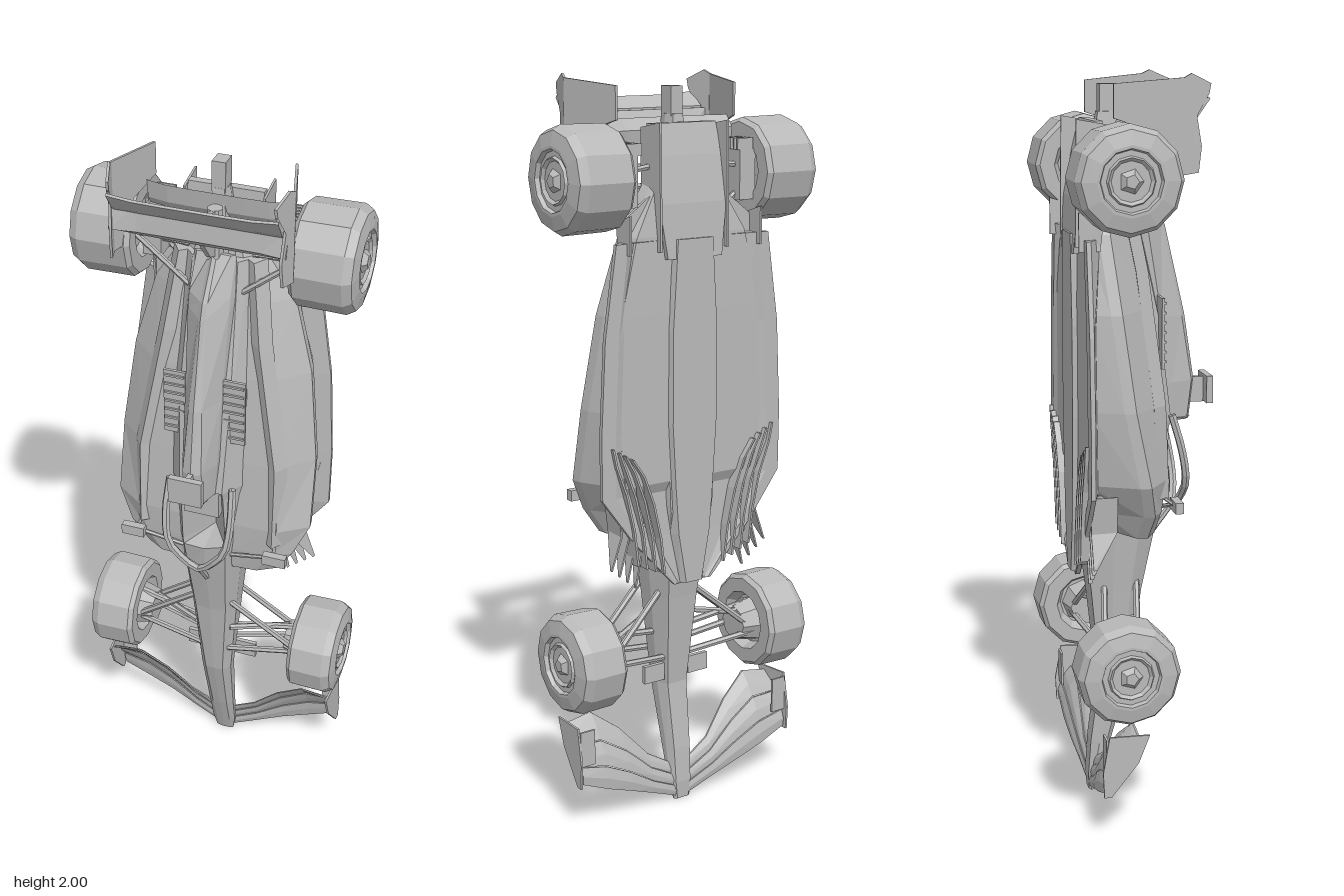
import * as THREE from 'three';

// One grey, faceted, double sided for the thin aero panels
const grey = new THREE.MeshStandardMaterial({ color: 0xb9b9b9, flatShading: true, side: THREE.DoubleSide });
grey.name = 'bodyGrey';

function add(parent, name, geo) {
  const m = new THREE.Mesh(geo, grey);
  m.name = name;
  parent.add(m);
}

// Skin a list of equal-length 3D rings and cap both ends, facing outward
function loft(rings) {
  const tris = [], n = rings[0].length;
  for (let s = 0; s < rings.length - 1; s++) {
    for (let i = 0; i < n; i++) {
      const a = rings[s][i], b = rings[s][(i + 1) % n], c = rings[s + 1][(i + 1) % n], d = rings[s + 1][i];
      tris.push([a, b, c], [a, c, d]);
    }
  }
  const cap = (ring, flip) => {
    const c = [0, 1, 2].map(k => ring.reduce((t, p) => t + p[k], 0) / n);
    ring.forEach((p, i) => tris.push(flip ? [c, ring[(i + 1) % n], p] : [c, p, ring[(i + 1) % n]]));
  };
  cap(rings[0], true);
  cap(rings[rings.length - 1], false);
  const v = (p) => new THREE.Vector3(...p);
  const volume = tris.reduce((t, [a, b, c]) => t + v(a).dot(v(b).cross(v(c))), 0);
  if (volume < 0) tris.forEach(t => t.reverse());
  const g = new THREE.BufferGeometry();
  g.setAttribute('position', new THREE.Float32BufferAttribute(tris.flat(2), 3));
  g.computeVertexNormals();
  return g;
}

// Ring at height y: plain, or mirrored from a half outline running top to bottom
const ringAt = (y, pts) => pts.map(([x, z]) => [x, y, z]);
const mirrorRing = (y, half) => ringAt(y, [...half, ...half.filter(p => p[0] > 0).reverse().map(([x, z]) => [-x, z])]);

// Thin side plate from a (y, z) outline; lean shifts x with z
function plate(pts, x, t = 0.006, lean = 0) {
  return loft([x - t / 2, x + t / 2].map(px => pts.map(([y, z]) => [px + lean * z, y, z])));
}

function box(w, h, d, x, y, z) {
  return new THREE.BoxGeometry(w, h, d).translate(x, y, z);
}

function bar(a, b, r = 0.006) {
  const p = new THREE.Vector3(...a), q = new THREE.Vector3(...b), dir = q.clone().sub(p);
  const g = new THREE.CylinderGeometry(r, r, dir.length(), 6);
  g.applyQuaternion(new THREE.Quaternion().setFromUnitVectors(new THREE.Vector3(0, 1, 0), dir.normalize()));
  return g.translate(...p.add(q).multiplyScalar(0.5).toArray());
}

// Faceted wheel with stepped rim and a wedge hub
function wheel(name, x0, x1, y) {
  const g = new THREE.Group(), w = x1 - x0, h = w / 2;
  g.name = name;
  const profile = [[0, -h + 0.03], [0.07, -h + 0.03], [0.085, -h], [0.125, -h], [0.136, -h + 0.012], [0.138, h - 0.03],
    [0.125, h - 0.008], [0.088, h], [0.08, h], [0.076, h - 0.012], [0.062, h - 0.012], [0.058, h - 0.004], [0.05, h - 0.012], [0, h - 0.012]];
  const tyre = new THREE.LatheGeometry(profile.map(p => new THREE.Vector2(...p)), 12).toNonIndexed();
  tyre.rotateZ(-Math.PI / 2);
  tyre.computeVertexNormals();
  add(g, 'tyreAndRim', tyre);
  add(g, 'hub', new THREE.CylinderGeometry(0.018, 0.034, 0.016, 5).rotateZ(-Math.PI / 2).translate(h - 0.006, 0, 0));
  g.position.set((x0 + x1) / 2, y, -0.085);
  return g;
}

// Everything that exists once on each side
function buildSide() {
  const g = new THREE.Group();
  g.add(wheel('frontWheel', 0.238, 0.374, 0.468), wheel('rearWheel', 0.205, 0.375, 1.748));

  // Front wing: three swept elements and a leaning endplate
  const stations = [[0, 0.0, -0.125, 0.09, -0.11], [0.1, 0.042, -0.135, 0.15, -0.1], [0.18, 0.075, -0.145, 0.24, -0.075],
    [0.26, 0.105, -0.15, 0.3, -0.055], [0.343, 0.14, -0.15, 0.285, -0.055]];
  for (let k = 0; k < 3; k++) {
    add(g, 'frontWingElement', loft(stations.map(([x, y0, z0, y1, z1]) => {
      const at = (f, dz) => [x, y0 + (y1 - y0) * f, z0 + (z1 - z0) * f * f + dz];
      const a = k / 3, b = (k + 1) / 3 - 0.012;
      return [at(a, 0), at((a + b) / 2, 0.006), at(b, 0.003), at(b, -0.002), at((a + b) / 2, -0.004)];
    })));
  }
  add(g, 'frontEndplate', plate([[0.13, -0.155], [0.13, -0.135], [0.22, -0.06], [0.295, -0.03], [0.3, -0.14], [0.2, -0.158]], 0.341, 0.006, -0.06));
  add(g, 'frontEndplateFoot', box(0.045, 0.1, 0.006, 0.325, 0.24, -0.145));
  add(g, 'noseVane', box(0.065, 0.05, 0.012, 0.073, 0.38, -0.09));

  // Front suspension
  const hubX = 0.25;
  [[[hubX, 0.46, -0.04], [0.05, 0.63, 0.0]], [[hubX, 0.46, -0.04], [0.04, 0.43, -0.02]],
    [[hubX, 0.45, -0.13], [0.05, 0.62, -0.09]], [[hubX, 0.45, -0.13], [0.04, 0.42, -0.09]],
    [[hubX, 0.5, -0.12], [0.05, 0.52, -0.01]], [[hubX, 0.52, -0.08], [0.05, 0.49, -0.06]]]
    .forEach(([a, b]) => add(g, 'frontSuspensionArm', bar(a, b, 0.009)));
  add(g, 'frontBrakeDuct', new THREE.CylinderGeometry(0.065, 0.05, 0.06, 8).rotateZ(-Math.PI / 2).translate(0.235, 0.468, -0.085));

  // Rear suspension
  [[[0.22, 1.75, -0.03], [0.05, 1.62, -0.02]], [[0.22, 1.75, -0.03], [0.03, 1.77, -0.03]],
    [[0.22, 1.74, -0.13], [0.06, 1.6, -0.11]], [[0.22, 1.76, -0.13], [0.04, 1.78, -0.11]], [[0.22, 1.72, -0.08], [0.03, 1.72, -0.07]]]
    .forEach(([a, b]) => add(g, 'rearSuspensionArm', bar(a, b, 0.008)));
  add(g, 'rearBrakeDuct', box(0.05, 0.13, 0.09, 0.185, 1.74, -0.105));
  for (let i = 0; i < 5; i++) add(g, 'rearDuctVane', box(0.05, 0.03, 0.005, 0.175, 1.82, -0.15 + i * 0.016));

  // Sidepod: wide at the front, tapering in towards the tail
  const pod = (y, xi, xt, xo, zt, zo, xb, zb) => ringAt(y, [[xi, zt + 0.005], [xt, zt], [xo, zo], [xo - 0.004, zo - 0.03], [xb, zb], [xi, zb]]);
  add(g, 'sidepod', loft([
    pod(0.79, 0.07, 0.14, 0.19, 0.03, 0.0, 0.12, -0.07),
    pod(0.86, 0.07, 0.18, 0.235, 0.04, 0.01, 0.16, -0.12),
    pod(0.95, 0.07, 0.2, 0.278, 0.045, -0.01, 0.21, -0.165),
    pod(1.15, 0.06, 0.19, 0.275, 0.03, -0.05, 0.235, -0.165),
    pod(1.4, 0.04, 0.15, 0.245, 0.005, -0.08, 0.22, -0.165),
    pod(1.6, 0.03, 0.1, 0.19, -0.025, -0.1, 0.17, -0.16),
    pod(1.74, 0.02, 0.06, 0.1, -0.05, -0.09, 0.09, -0.14)]));
  add(g, 'sidepodShoulder', loft([[0.9, 0.19, 0.05], [1.15, 0.19, 0.04], [1.5, 0.13, 0.005], [1.72, 0.1, -0.035]].map(([y, x, z]) =>
    ringAt(y, [[x - 0.035, z - 0.02], [x, z + 0.008], [x + 0.025, z - 0.03]]))));
  // Cooling louvres
  add(g, 'louvrePanel', box(0.06, 0.19, 0.008, 0.082, 1.325, 0.06));
  for (let i = 0; i < 7; i++) add(g, 'louvre', box(0.054, 0.006, 0.012, 0.082, 1.25 + i * 0.026, 0.063));

  // Curved floor fences
  for (let i = 0; i < 4; i++) {
    const x = 0.095 + i * 0.028, y = 0.7 + i * 0.012;
    add(g, 'floorFence', loft([[0, 0], [0.1, 0.012], [0.2, 0.035], [0.28, 0.065], [0.33, 0.1 - i * 0.008]].map(([dy, dx], j) =>
      ringAt(y + dy, [[x + dx, -0.182], [x + dx + 0.006, -0.182], [x + dx + 0.006, j ? -0.15 : -0.13], [x + dx, j ? -0.15 : -0.13]]))));
    add(g, 'fenceTip', loft([[0.67 + i * 0.02, 0.02], [0.82, -0.012], [0.92, 0]].map(([py, dx], j) =>
      ringAt(py, [[0.155 + i * 0.025 + dx, -0.16], [0.16 + i * 0.025 + dx, -0.16], [0.157 + i * 0.025 + dx, j ? -0.09 : -0.15]]))));
  }
  add(g, 'diffuserFence', plate([[1.56, -0.175], [1.56, -0.13], [1.72, -0.085], [1.87, -0.085], [1.885, -0.17]], 0.105));
  add(g, 'diffuserOuterWall', plate([[1.56, -0.185], [1.56, -0.13], [1.64, -0.12], [1.66, -0.185]], 0.205));
  add(g, 'diffuserShelf', loft([[1.56, 0.21], [1.64, 0.2], [1.7, 0.12]].map(([y, x]) =>
    ringAt(y, [[0.09, -0.125], [x, -0.13], [x, -0.14], [0.09, -0.14]]))));

  // Mirror
  add(g, 'mirror', box(0.065, 0.03, 0.022, 0.205, 0.88, 0.075));
  add(g, 'mirrorStay', bar([0.19, 0.88, 0.07], [0.07, 0.84, 0.045], 0.006));
  add(g, 'mirrorPost', bar([0.2, 0.88, 0.07], [0.19, 0.91, 0.03], 0.005));

  // Rear wing endplate: widest at mid height, leaning in above and below
  add(g, 'rearEndplate', plate([[2.0, 0.1], [1.975, 0.155], [1.95, 0.15], [1.925, 0.11], [1.82, 0.13], [1.755, 0.122],
    [1.75, 0.08], [1.99, 0.08]], 0.255, 0.007, -0.3));
  add(g, 'rearEndplateLower', plate([[1.99, 0.08], [1.975, -0.09], [1.89, -0.09], [1.86, 0.0], [1.75, 0.045], [1.75, 0.08]], 0.209, 0.007, 0.28));
  return g;
}

export function createModel() {
  const car = new THREE.Group();
  car.name = 'openWheelRacingCar';
  const left = buildSide();
  left.name = 'leftSide';
  const right = left.clone();
  right.name = 'rightSide';
  right.scale.x = -1;
  car.add(left, right);

  // Nose and tub, with the cockpit cut as a dip along the centre
  const tub = (y, zc, zr, wi, wo, zb) => mirrorRing(y, [[0, zc], [wi, zr], [wo, zr - (zr - zb) * 0.25], [wo, zr - (zr - zb) * 0.6], [wo * 0.7, zb], [0, zb]]);
  add(car, 'noseAndTub', loft([
    tub(0, -0.115, -0.116, 0.015, 0.026, -0.13), tub(0.05, -0.098, -0.1, 0.02, 0.035, -0.132), tub(0.15, -0.065, -0.067, 0.022, 0.038, -0.125),
    tub(0.34, -0.012, -0.014, 0.026, 0.045, -0.1), tub(0.6, 0.02, 0.016, 0.045, 0.067, -0.125), tub(0.78, 0.06, 0.052, 0.055, 0.085, -0.15),
    tub(0.86, 0.07, 0.066, 0.06, 0.095, -0.165), tub(0.88, -0.03, 0.068, 0.062, 0.098, -0.165), tub(1.05, -0.01, 0.085, 0.06, 0.105, -0.165),
    tub(1.08, 0.1, 0.095, 0.06, 0.105, -0.165), tub(1.35, 0.07, 0.06, 0.07, 0.105, -0.165), tub(1.72, 0.0, -0.02, 0.06, 0.085, -0.13)]));
  add(car, 'headrest', box(0.1, 0.09, 0.07, 0, 1.04, 0.055));

  // Airbox, engine cover and spine
  const cover = (y, zt, w1, w2, zm) => mirrorRing(y, [[0, zt], [w1, zt - 0.012], [w2, zm], [w2 + 0.01, -0.02], [0, -0.02]]);
  add(car, 'engineCover', loft([cover(1.08, 0.16, 0.026, 0.042, 0.1), cover(1.18, 0.172, 0.026, 0.048, 0.1),
    cover(1.36, 0.145, 0.018, 0.05, 0.07), cover(1.6, 0.09, 0.01, 0.055, 0.03), cover(1.64, 0.075, 0.01, 0.055, 0.02), cover(1.74, 0.0, 0.008, 0.045, -0.01)]));
  add(car, 'airIntakeRim', new THREE.TorusGeometry(0.027, 0.006, 5, 10).rotateX(Math.PI / 2).translate(0, 1.078, 0.128));
  add(car, 'cameraStalk', box(0.014, 0.07, 0.05, 0, 1.15, 0.185));
  add(car, 'cameraPod', box(0.092, 0.075, 0.018, 0, 1.155, 0.207));

  // Cockpit hoop
  const hoop = new THREE.CatmullRomCurve3([[-0.088, 1.1, 0.09], [-0.092, 1.0, 0.118], [-0.08, 0.915, 0.132], [-0.045, 0.865, 0.128], [0, 0.825, 0.115],
    [0.045, 0.865, 0.128], [0.08, 0.915, 0.132], [0.092, 1.0, 0.118], [0.088, 1.1, 0.09]].map(p => new THREE.Vector3(...p)));
  add(car, 'cockpitHoop', new THREE.TubeGeometry(hoop, 18, 0.011, 6));
  add(car, 'hoopPillar', bar([0, 0.745, 0.05], [0, 0.83, 0.115], 0.009));

  // Floor with a central keel and two side tunnels
  const floor = (y, w, k, roof) => mirrorRing(y, [[0, Math.max(-0.155, roof + 0.01)], [w * 0.75, Math.max(-0.155, roof + 0.01)], [w, -0.16],
    [w, -0.172], [w * 0.85, -0.172], [k + (w - k) * 0.5, roof], [k + 0.012, roof], [k, -0.178], [0, -0.178]]);
  add(car, 'floor', loft([floor(0.66, 0.06, 0.025, -0.165), floor(0.8, 0.19, 0.05, -0.155), floor(0.93, 0.287, 0.06, -0.15), floor(1.1, 0.288, 0.07, -0.15),
    floor(1.35, 0.275, 0.07, -0.15), floor(1.59, 0.24, 0.055, -0.135)]));
  // Diffuser roof rising towards the tail
  add(car, 'diffuser', loft([[1.54, 0.085, -0.176, -0.11], [1.68, 0.105, -0.165, -0.1], [1.8, 0.105, -0.142, -0.095], [1.88, 0.1, -0.122, -0.1]].map(([y, w, zb, zt]) =>
    mirrorRing(y, [[0, zt], [w, zt], [w, zb], [0, zb]]))));

  // Tail: gearbox, crash structure with lamp, exhaust and wing pylon
  add(car, 'gearbox', loft([[1.66, 0.07, -0.12, -0.01], [1.8, 0.035, -0.11, -0.03], [1.9, 0.022, -0.095, -0.045]].map(([y, w, zb, zt]) =>
    mirrorRing(y, [[0, zt], [w * 0.7, zt], [w, (zt + zb) / 2], [w * 0.7, zb], [0, zb]]))));
  add(car, 'tailLamp', box(0.036, 0.08, 0.045, 0, 1.93, -0.068));
  add(car, 'exhaust', new THREE.CylinderGeometry(0.02, 0.022, 0.16, 8).translate(0, 1.78, -0.02));
  add(car, 'wingPylon', plate([[1.72, -0.04], [1.75, 0.03], [1.82, 0.09], [1.88, 0.08], [1.86, 0.0], [1.8, -0.05]], 0, 0.012));

  // Rear wing: bowed main plane, flap and beam wing, each skinned across x
  const span = [-1, -0.7, -0.35, 0, 0.35, 0.7, 1];
  const plane = (half, rule) => loft(span.map(s => rule(Math.max(0, Math.abs(s) - 0.65)).map(([y, z]) => [s * half, y, z])));
  add(car, 'rearWingMainPlane', plane(0.226, d => [[1.81 + d * 0.04, 0.085 + d * 0.05], [1.83, 0.108 + d * 0.03], [1.9, 0.102], [1.9, 0.095], [1.84, 0.066 + d * 0.08]]));
  add(car, 'rearWingFlap', plane(0.215, d => [[1.875, 0.1], [1.89, 0.118], [1.93 + d * 0.02, 0.152], [1.935 + d * 0.02, 0.148], [1.905, 0.1]]));
  add(car, 'beamWing', plane(0.19, d => [[1.82, -0.055 - d * 0.04], [1.84, -0.042 - d * 0.04], [1.89, -0.035 - d * 0.04], [1.86, -0.06 - d * 0.04]]));
  return car;
}
